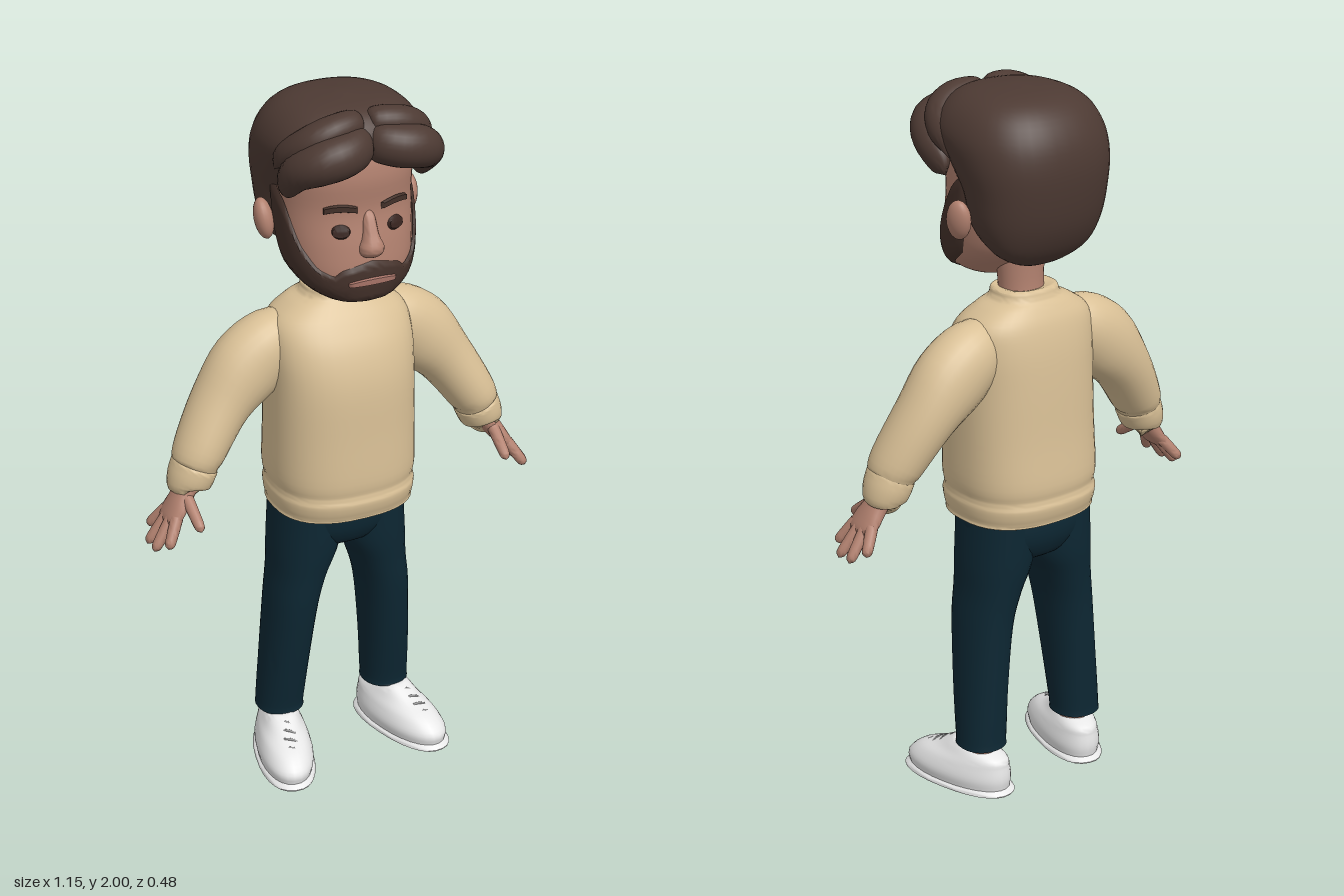
import * as THREE from 'three';
import { toCreasedNormals } from 'three/addons/utils/BufferGeometryUtils.js';

const paint = (name, color) => {
  const m = new THREE.MeshStandardMaterial({ color });
  m.name = name;
  return m;
};
const UP = new THREE.Vector3(0, 1, 0);
const spow = (v, e) => Math.sign(v) * Math.abs(v) ** e;

// Smooth surface from a function of (u, v), both 0..1
function surface(fn, nu, nv, crease = 1) {
  const pos = [], index = [];
  for (let j = 0; j <= nv; j++)
    for (let i = 0; i <= nu; i++) pos.push(...fn(i / nu, j / nv).toArray());
  for (let j = 0; j < nv; j++)
    for (let i = 0; i < nu; i++) {
      const a = j * (nu + 1) + i, b = a + nu + 1;
      index.push(a, a + 1, b, a + 1, b + 1, b);
    }
  const g = new THREE.BufferGeometry();
  g.setAttribute('position', new THREE.Float32BufferAttribute(pos, 3));
  g.setIndex(index);
  return toCreasedNormals(g, crease);
}

// Loft through rings [x, y, z, halfWidth, halfDepth]; upright rings lie level, others follow the path
function loft(rings, { upright = false, n = 2, sides = 28, steps = 4 } = {}) {
  const path = new THREE.CatmullRomCurve3(rings.map(r => new THREE.Vector3(r[0], r[1], r[2])), false, 'catmullrom');
  const size = new THREE.CatmullRomCurve3(rings.map(r => new THREE.Vector3(r[3], r[4], 0)), false, 'catmullrom');
  return surface((u, v) => {
    const p = path.getPoint(v), s = size.getPoint(v);
    const t = upright ? UP : path.getTangent(v);
    const w = new THREE.Vector3(0, 0, 1).addScaledVector(t, -t.z).normalize();
    const side = new THREE.Vector3().crossVectors(t, w);
    const a = u * Math.PI * 2;
    return p.addScaledVector(side, Math.max(0, s.x) * spow(Math.cos(a), 2 / n))
      .addScaledVector(w, -Math.max(0, s.y) * spow(Math.sin(a), 2 / n));
  }, sides, (rings.length - 1) * steps);
}

// Head outline by height: y, front z, back z, half width
const HEAD = [
  [1.462, .09, .09, 0], [1.475, .165, .02, .075], [1.51, .182, -.03, .132], [1.56, .185, -.1, .165],
  [1.63, .178, -.14, .178], [1.72, .165, -.16, .182], [1.82, .172, -.17, .182], [1.9, .14, -.15, .16], [1.95, 0, 0, 0],
];
const headSpan = new THREE.CatmullRomCurve3(HEAD.map(r => new THREE.Vector3(r[1], r[0], r[2])), false, 'catmullrom');
const headWidth = new THREE.CatmullRomCurve3(HEAD.map(r => new THREE.Vector3(r[3], 0, 0)), false, 'catmullrom');

function headPoint(phi, t, off = 0) {
  const s = headSpan.getPoint(t), rx = Math.max(0, headWidth.getPoint(t).x) + off;
  const rz = (s.x - s.z) / 2 + off;
  return new THREE.Vector3(rx * spow(Math.sin(phi), .9), s.y, (s.x + s.z) / 2 + rz * spow(Math.cos(phi), .9));
}
function headLevel(y) {
  let lo = 0, hi = 1;
  for (let k = 0; k < 24; k++) {
    const m = (lo + hi) / 2;
    if (headSpan.getPoint(m).y < y) lo = m; else hi = m;
  }
  return lo;
}
// Thin plate hugging the head, between two heights that vary with the angle
function facePatch(phi0, phi1, low, high, off, nu = 16, nv = 6) {
  return surface((u, v) => {
    const phi = phi0 + (phi1 - phi0) * u, y = low(phi) + (high(phi) - low(phi)) * v;
    const edge = u < .001 || u > .999 || v < .001 || v > .999;
    return headPoint(phi, headLevel(y), edge ? off - .008 : off);
  }, nu, nv);
}
function lerpTable(table, x) {
  for (let i = 1; i < table.length; i++)
    if (x <= table[i][0]) {
      const [a, b] = [table[i - 1], table[i]];
      return a[1] + (b[1] - a[1]) * (x - a[0]) / (b[0] - a[0]);
    }
  return table[table.length - 1][1];
}

export function createModel() {
  const model = new THREE.Group();
  model.name = 'beardedMan';
  const skin = paint('skin', 0xb38270), hair = paint('brownHair', 0x4d3a33), beardColor = paint('darkBeard', 0x45322b);
  const eyeColor = paint('darkEyes', 0x38241f), lip = paint('lips', 0xa87468);
  const wool = paint('creamWool', 0xd9c096), denim = paint('navyDenim', 0x0d2733);
  const white = paint('whiteShoe', 0xe8e8e8), lace = paint('greyLace', 0x8c8c8c);
  for (const m of [hair, beardColor, eyeColor, lip]) m.side = THREE.DoubleSide;
  const add = (name, geo, mat, parent = model) => {
    const m = new THREE.Mesh(geo, mat);
    m.name = name;
    parent.add(m);
    return m;
  };

  // Head and face
  add('head', surface((u, v) => headPoint(-Math.PI + u * Math.PI * 2, v), 40, 40), skin);
  add('neck', loft([[0, 1.39, -.03, .066, .062], [0, 1.46, -.025, .064, .058], [0, 1.56, -.02, .07, .065]], { upright: true }), skin);
  add('nose', loft([[0, 1.598, .17, 0, 0], [0, 1.606, .176, .026, .024], [0, 1.628, .18, .034, .033], [0, 1.66, .174, .022, .026],
    [0, 1.71, .162, .015, .014], [0, 1.73, .16, 0, 0]], { upright: true, sides: 16 }), skin);
  const beardTop = [[0, 1.592], [.45, 1.572], [.6, 1.555], [.85, 1.575], [1.1, 1.63], [1.35, 1.73], [1.75, 1.8]];
  const beardLow = [[0, 1.463], [.9, 1.463], [1.4, 1.49], [1.75, 1.56]];
  add('beard', facePatch(-1.75, 1.75, p => lerpTable(beardLow, Math.abs(p)), p => lerpTable(beardTop, Math.abs(p)), .01, 48, 14), beardColor);
  add('mouth', facePatch(-.4, .4, () => 1.527, p => 1.55 - p * p * .06, .016), lip);

  // Hair cap
  const cap = [[1.528, -.11, -.11, 0], [1.54, -.08, -.14, .075], [1.58, -.04, -.18, .145], [1.65, .03, -.215, .185], [1.74, .06, -.235, .2],
    [1.82, .12, -.24, .213], [1.89, .185, -.225, .212], [1.95, .165, -.185, .178], [1.985, .11, -.12, .115], [1.998, 0, 0, 0]];
  add('hairCap', loft(cap.map(([y, f, b, w]) => [0, y, (f + b) / 2, w, (f - b) / 2]), { upright: true, n: 2.35, sides: 40 }), hair);

  for (const s of [1, -1]) {
    const side = s > 0 ? 'left' : 'right';
    const limb = (rings, opts) => loft(rings.map(([x, ...r]) => [x * s, ...r]), opts);

    // Swept fringe, parted in the middle
    add(side + 'Fringe', limb([[0, 1.905, .15, 0, 0], [.015, 1.905, .158, .045, .035], [.07, 1.895, .182, .056, .054], [.135, 1.88, .178, .056, .056],
      [.18, 1.845, .125, .045, .05], [.19, 1.79, .07, .022, .035], [.188, 1.765, .05, 0, 0]]), hair);
    add(side + 'UpperLock', limb([[.005, 1.95, .13, 0, 0], [.02, 1.95, .13, .035, .035], [.09, 1.945, .14, .04, .045],
      [.15, 1.915, .12, .04, .045], [.19, 1.87, .06, .025, .035], [.2, 1.82, .02, 0, 0]]), hair);

    // Eyes, brows and ears
    const mid = .4 * s;
    add(side + 'Eye', facePatch(mid - .14, mid + .14, p => 1.676 - .02 * Math.sqrt(Math.max(0, 1 - ((p - mid) / .142) ** 2)),
      p => 1.676 + .018 * Math.sqrt(Math.max(0, 1 - ((p - mid) / .142) ** 2)), .008), eyeColor);
    add(side + 'Brow', facePatch(mid - .25, mid + .25, p => 1.728 - .1 * (p - mid) ** 2, p => 1.75 - .15 * (p - mid) ** 2, .011), beardColor);
    const ear = add(side + 'Ear', new THREE.SphereGeometry(1, 20, 14), skin);
    ear.scale.set(.026, .056, .036);
    ear.position.set(s * .208, 1.668, -.03);
    ear.rotation.set(-.15, s * .3, -s * .12);

    // Sleeve with gathered cuff
    add(side + 'Sleeve', limb([[.1, 1.33, -.05, .04, .04], [.17, 1.31, -.05, .09, .082], [.255, 1.245, -.05, .106, .092], [.337, 1.155, -.043, .083, .088],
      [.412, 1.04, -.02, .07, .08], [.43, 1.0, -.015, .061, .068]]), wool);
    add(side + 'Cuff', limb([[.424, 1.012, -.015, 0, 0], [.426, 1.008, -.015, .058, .062], [.434, .99, -.015, .064, .07], [.448, .955, -.014, .06, .064],
      [.45, .945, -.013, .048, .05], [.447, .955, -.013, 0, 0]]), wool);

    // Hand
    const hand = new THREE.Group();
    hand.name = side + 'Hand';
    model.add(hand);
    add('palm', limb([[.435, .98, -.012, .032, .036], [.468, .93, -.006, .028, .04], [.497, .89, 0, .023, .052], [.518, .862, 0, .016, .05],
      [.527, .85, 0, 0, 0]], { sides: 18 }), skin, hand);
    const fingers = [[.505, .88, .036, .547, .812, .074], [.51, .875, .013, .572, .79, .03], [.51, .875, -.012, .572, .79, -.02],
      [.505, .88, -.034, .549, .818, -.068], [.468, .925, .022, .465, .865, .112]];
    fingers.forEach(([ax, ay, az, bx, by, bz], i) => {
      const at = (k, r) => [ax + (bx - ax) * k, ay + (by - ay) * k, az + (bz - az) * k, r, r];
      add(i < 4 ? 'finger' : 'thumb', limb([at(0, .017), at(.5, .016), at(.88, .013), at(1, 0)], { sides: 12 }), skin, hand);
    });

    // Trouser leg and ankle
    add(side + 'TrouserLeg', limb([[.168, .15, -.06, 0, 0], [.168, .138, -.06, .062, .066], [.168, .16, -.06, .067, .071], [.158, .32, -.046, .068, .086],
      [.142, .5, -.034, .071, .101], [.123, .6, -.034, .079, .11], [.103, .69, -.035, .096, .12], [.097, .82, -.035, .092, .125]], { upright: true, n: 2.2 }), denim);
    add(side + 'Ankle', limb([[.17, .08, -.055, .045, .05], [.168, .18, -.058, .045, .052]], { upright: true }), skin);

    // Shoe, turned outwards
    const shoe = new THREE.Group();
    shoe.name = side + 'Shoe';
    shoe.position.x = s * .186;
    shoe.rotation.y = s * .25;
    model.add(shoe);
    add('sole', loft([[0, 0, .015, 0, 0], [0, 0, .015, .076, .17], [0, .012, .015, .08, .175], [0, .018, .015, .07, .165]],
      { upright: true, n: 2.3 }), white, shoe);
    add('upper', loft([[0, .012, .015, .074, .168], [0, .045, .014, .079, .172], [0, .08, -.004, .07, .15], [0, .105, -.03, .058, .115],
      [0, .13, -.022, .044, .06], [0, .14, -.02, .03, .035], [0, .136, -.02, 0, 0]], { upright: true, n: 2.2 }), white, shoe);
    for (let i = 0; i < 4; i++) {
      const z = .03 + i * .026, y = .13 - i * .0125, w = .028 + i * .003;
      const bend = new THREE.QuadraticBezierCurve3(new THREE.Vector3(-w, y - .018, z - .006),
        new THREE.Vector3(0, y + .016, z + .004), new THREE.Vector3(w, y - .018, z + .012));
      add('lace', new THREE.TubeGeometry(bend, 8, .004, 6), lace, shoe);
    }
  }

  // Sweater body with hem and collar
  add('sweater', loft([[0, .83, -.015, 0, 0], [0, .812, -.018, .18, .155], [0, .825, -.018, .198, .175], [0, .865, -.018, .204, .186], [0, .888, -.018, .2, .18],
    [0, .93, -.018, .206, .184], [0, 1.05, -.015, .205, .176], [0, 1.2, -.014, .204, .168], [0, 1.3, -.022, .205, .15], [0, 1.37, -.034, .192, .122],
    [0, 1.412, -.04, .14, .095], [0, 1.432, -.04, .098, .08], [0, 1.455, -.038, .088, .073], [0, 1.452, -.035, .062, .055], [0, 1.43, -.035, 0, 0]],
  { upright: true, n: 2.5, sides: 40 }), wool);
  // Trouser seat
  add('trouserSeat', loft([[0, .665, -.035, 0, 0], [0, .69, -.035, .1, .09], [0, .73, -.035, .17, .122], [0, .78, -.035, .19, .134], [0, .85, -.03, .19, .134]],
    { upright: true, n: 2.3 }), denim);
  return model;
}
